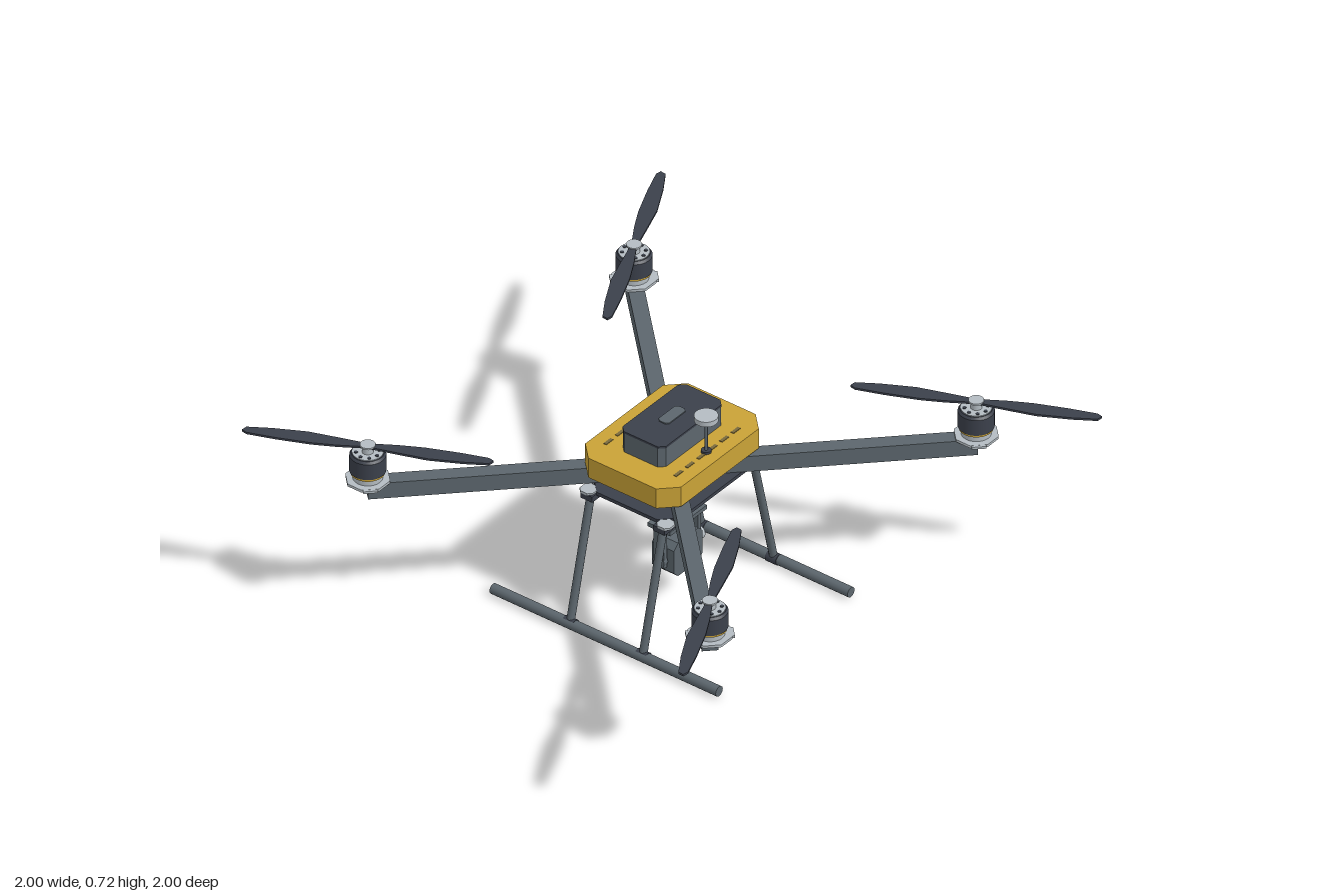
import * as THREE from 'three';

const mat = (name, color) => {
  const m = new THREE.MeshStandardMaterial({ color });
  m.name = name;
  return m;
};

export function createModel() {
  const yellow = mat('yellow shell', 0xc9a237);
  const grey = mat('carbon grey', 0x5c666d);
  const dark = mat('dark slate', 0x3b404b);
  const silver = mat('silver', 0xb4bcc2);
  const vent = mat('vent brown', 0x7a6a3c);

  const root = new THREE.Group();
  root.name = 'quadcopter';

  const add = (parent, name, geo, material, x = 0, y = 0, z = 0) => {
    const m = new THREE.Mesh(geo, material);
    m.name = name;
    m.position.set(x, y, z);
    parent.add(m);
    return m;
  };
  const box = (w, h, d) => new THREE.BoxGeometry(w, h, d);
  const cyl = (r, h, n = 24, r2 = r) => new THREE.CylinderGeometry(r, r2, h, n);

  // Rectangle with cut corners, standing on y = 0
  const chamferSlab = (w, h, d, c) => {
    const x = w / 2, z = d / 2;
    const s = new THREE.Shape([
      [x - c, -z], [x, c - z], [x, z - c], [x - c, z],
      [c - x, z], [-x, z - c], [-x, c - z], [c - x, -z],
    ].map(p => new THREE.Vector2(...p)));
    return new THREE.ExtrudeGeometry(s, { depth: h, bevelEnabled: false }).rotateX(-Math.PI / 2);
  };
  // Round bar between two points
  const bar = (parent, name, a, b, r, material, n = 10) => {
    const A = new THREE.Vector3(...a), B = new THREE.Vector3(...b);
    const dir = B.clone().sub(A);
    const m = add(parent, name, cyl(r, dir.length(), n), material);
    m.position.copy(A).add(B).multiplyScalar(0.5);
    m.quaternion.setFromUnitVectors(new THREE.Vector3(0, 1, 0), dir.normalize());
    return m;
  };

  // Body: two frame plates, shell and battery
  const body = new THREE.Group();
  body.name = 'body';
  root.add(body);
  add(body, 'bottomPlate', chamferSlab(0.44, 0.012, 0.33, 0.05), dark, 0, 0.443);
  add(body, 'topPlate', chamferSlab(0.47, 0.006, 0.35, 0.05), dark, 0, 0.51);
  add(body, 'shell', chamferSlab(0.486, 0.072, 0.364, 0.053), yellow, 0, 0.516);
  add(body, 'batteryCase', chamferSlab(0.304, 0.07, 0.164, 0.018), grey, 0, 0.588);
  add(body, 'batteryLid', chamferSlab(0.306, 0.007, 0.166, 0.018), dark, 0, 0.657);
  add(body, 'batteryLatch', chamferSlab(0.095, 0.004, 0.04, 0.008), grey, 0, 0.664);
  for (const z of [-0.133, 0.133])
    for (let i = 0; i < 6; i++)
      add(body, 'vent', box(0.034, 0.004, 0.011), vent, (i - 2.5) * 0.056, 0.588, z);

  // Antenna mast
  const antenna = new THREE.Group();
  antenna.name = 'antenna';
  antenna.position.z = 0.13;
  root.add(antenna);
  add(antenna, 'mastFoot', cyl(0.016, 0.008), dark, 0, 0.592);
  add(antenna, 'mast', cyl(0.005, 0.12, 10), grey, 0, 0.648);
  add(antenna, 'antennaCap', cyl(0.037, 0.018, 24), silver, 0, 0.714);
  add(antenna, 'antennaNeck', cyl(0.022, 0.008, 24, 0.01), grey, 0, 0.702);

  // Propeller: two blades by half-turn symmetry
  const half = [[0.018, -0.011], [0.09, -0.019], [0.19, -0.029], [0.3, -0.023], [0.376, -0.013],
    [0.386, 0.004], [0.37, 0.015], [0.28, 0.022], [0.17, 0.025], [0.09, 0.02], [0.018, 0.011]];
  const outline = [...half, ...half.map(([x, y]) => [-x, -y])].map(p => new THREE.Vector2(...p));
  const bladeGeo = new THREE.ExtrudeGeometry(new THREE.Shape(outline), { depth: 0.007, bevelEnabled: false })
    .rotateX(-Math.PI / 2);

  // Four arms, each with motor and propeller
  const R = 0.92;
  for (let k = 0; k < 4; k++) {
    const arm = new THREE.Group();
    arm.name = 'armAssembly';
    arm.rotation.y = Math.PI / 4 + k * Math.PI / 2;
    root.add(arm);
    add(arm, 'arm', box(0.772, 0.056, 0.05), grey, 0.536, 0.482);

    const motor = new THREE.Group();
    motor.name = 'motor';
    motor.position.x = R;
    arm.add(motor);
    add(motor, 'motorMount', cyl(0.07, 0.009, 8), silver, 0, 0.514).rotation.y = Math.PI / 8;
    for (const s of [-1, 1])
      add(motor, 'mountTab', box(0.045, 0.008, 0.02), silver, 0, 0.514, s * 0.063);
    add(motor, 'motorBase', cyl(0.046, 0.022), silver, 0, 0.529);
    add(motor, 'motorRing', cyl(0.053, 0.008), yellow, 0, 0.543);
    add(motor, 'motorBell', cyl(0.056, 0.056), dark, 0, 0.575);
    add(motor, 'motorShoulder', cyl(0.05, 0.008, 24, 0.056), dark, 0, 0.607);
    add(motor, 'motorTop', cyl(0.047, 0.005), silver, 0, 0.611);
    for (let i = 0; i < 8; i++) {
      const a = i * Math.PI / 4;
      add(motor, 'bolt', cyl(0.006, 0.004, 8), dark, Math.cos(a) * 0.036, 0.614, Math.sin(a) * 0.036);
    }
    add(motor, 'hub', cyl(0.018, 0.02, 16), silver, 0, 0.622);
    add(motor, 'propeller', bladeGeo, dark, 0, 0.63).rotation.y = THREE.MathUtils.degToRad(-19.7);
    add(motor, 'hubCap', cyl(0.024, 0.006, 16), silver, 0, 0.638);
  }

  // Landing gear
  for (const s of [-1, 1]) {
    const gear = new THREE.Group();
    gear.name = 'landingGear';
    root.add(gear);
    for (const z of [-0.138, 0.138]) {
      bar(gear, 'leg', [s * 0.217, 0.445, z], [s * 0.32, 0.018, z], 0.013, grey);
      add(gear, 'legClamp', box(0.06, 0.02, 0.045), dark, s * 0.212, 0.438, z);
      add(gear, 'clampTab', chamferSlab(0.05, 0.008, 0.05, 0.012), silver, s * 0.218, 0.446, z * 1.06);
      bar(gear, 'skidJoint', [s * 0.32, 0.018, z - 0.02], [s * 0.32, 0.018, z + 0.02], 0.0185, dark, 12);
    }
    bar(gear, 'skid', [s * 0.322, 0.0175, -0.43], [s * 0.322, 0.0175, 0.43], 0.0175, grey, 12);
  }

  // Gimbal and camera
  const gimbal = new THREE.Group();
  gimbal.name = 'gimbal';
  root.add(gimbal);
  for (const s of [-1, 1]) {
    bar(gimbal, 'gimbalPost', [s * 0.065, 0.3, 0], [s * 0.065, 0.445, 0], 0.01, dark, 12);
    add(gimbal, 'yokeArm', box(0.014, 0.14, 0.04), grey, s * 0.083, 0.235, 0.02);
    add(gimbal, 'pivot', cyl(0.022, 0.018, 20), s > 0 ? silver : grey, s * 0.083, 0.185, 0.02)
      .rotation.z = Math.PI / 2;
  }
  add(gimbal, 'yokeTop', box(0.18, 0.014, 0.086), grey, 0, 0.303, 0.02);
  add(gimbal, 'pivotMotor', cyl(0.024, 0.016, 20), silver, 0.099, 0.185, 0.02).rotation.z = Math.PI / 2;
  add(gimbal, 'cameraBody', chamferSlab(0.14, 0.084, 0.122, 0.02).rotateX(Math.PI / 2), grey, 0, 0.187, -0.022);
  add(gimbal, 'cameraAxle', cyl(0.01, 0.16, 12), dark, 0, 0.185, 0.02).rotation.z = Math.PI / 2;
  return root;
}
